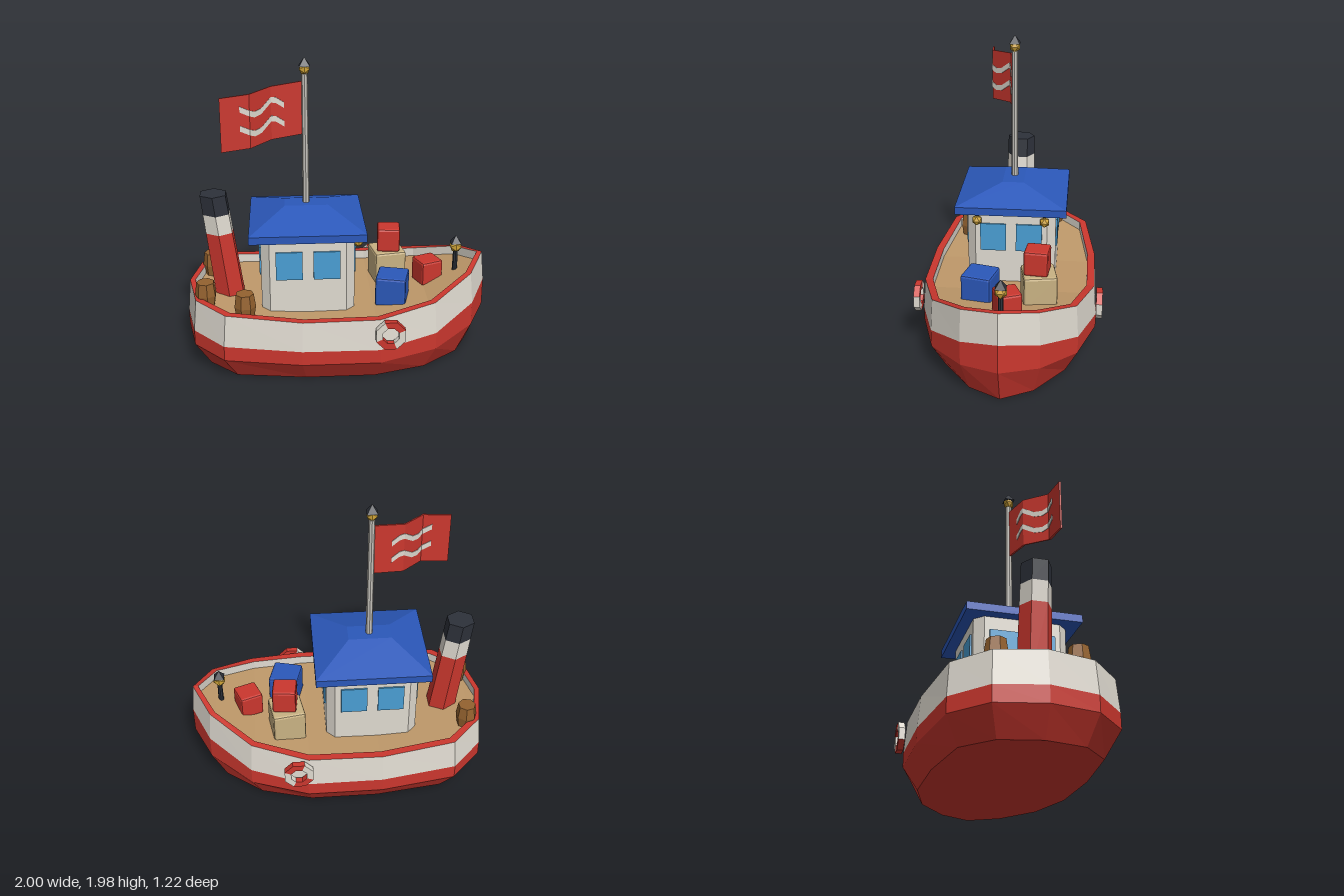
import * as THREE from 'three';
import { RoundedBoxGeometry } from 'three/addons/geometries/RoundedBoxGeometry.js';

const mat = (color) => new THREE.MeshStandardMaterial({ color, flatShading: true });
const M = {
  red: mat(0xcb372e), cream: mat(0xe0dbd1), deck: mat(0xbf996a), blue: mat(0x2b58ba),
  dark: mat(0x2d313a), glass: mat(0x4a9fd4), brown: mat(0x94622f), gold: mat(0xd0a437),
  tan: mat(0xc9b283), grey: mat(0xc4c1ba),
};

function add(parent, name, geometry, material, x = 0, y = 0, z = 0, turn = 0) {
  const mesh = new THREE.Mesh(geometry, material);
  mesh.name = name;
  mesh.position.set(x, y, z);
  mesh.rotation.y = turn;
  parent.add(mesh);
  return mesh;
}

// Hull stations, bow to stern: x, half width, chine y, paint line y, rail y
const HALF = [
  [1, 0, 0.25, 0.44, 0.64], [0.88, 0.24, 0.22, 0.38, 0.59], [0.61, 0.46, 0.17, 0.285, 0.495],
  [0.24, 0.57, 0.145, 0.237, 0.442], [-0.25, 0.57, 0.145, 0.24, 0.436],
  [-0.74, 0.5, 0.157, 0.255, 0.465], [-0.94, 0.3, 0.168, 0.27, 0.48], [-1, 0, 0.17, 0.275, 0.488],
];
const STATIONS = [...HALF, ...HALF.slice(1, -1).reverse().map(([x, z, ...ys]) => [x, -z, ...ys])];

// One closed loop around the hull
const ring = (sx, sz, yOf) => STATIONS.map((s) => [s[0] * sx, yOf(s), s[1] * sz]);

// Skin between two loops
function band(lower, upper) {
  const p = [];
  lower.forEach((a, i) => {
    const j = (i + 1) % lower.length;
    p.push(...a, ...upper[i], ...upper[j], ...a, ...upper[j], ...lower[j]);
  });
  const g = new THREE.BufferGeometry();
  g.setAttribute('position', new THREE.Float32BufferAttribute(p, 3));
  g.computeVertexNormals();
  return g;
}

function buildHull(boat) {
  const hull = new THREE.Group();
  hull.name = 'hull';
  boat.add(hull);
  const keel = ring(0.9, 0, () => 0), bottom = ring(0.9, 0.835, () => 0);
  const chine = ring(1, 1, (s) => s[2]), paint = ring(1, 1, (s) => s[3]);
  const rail = ring(0.98, 0.972, (s) => s[4]), inner = ring(0.945, 0.885, (s) => s[4]);
  const deckY = (s) => s[4] - 0.06;
  const edge = ring(0.945, 0.885, deckY), middle = ring(0.945, 0, deckY);
  add(hull, 'hullBottom', band(keel, bottom), M.red);
  add(hull, 'lowerHull', band(bottom, chine), M.red);
  add(hull, 'upperHull', band(chine, paint), M.red);
  add(hull, 'hullTopsides', band(paint, rail), M.cream);
  add(hull, 'rail', band(rail, inner), M.red);
  add(hull, 'innerBulwark', band(inner, edge), M.cream);
  add(hull, 'deck', band(edge, middle), M.deck);
}

function buildCabin(boat) {
  const cabin = new THREE.Group();
  cabin.name = 'cabin';
  cabin.position.x = -0.2;
  boat.add(cabin);
  // Walls with cut corners
  const w = 0.3, d = 0.29, c = 0.055;
  const plan = new THREE.Shape([
    [w, -d + c], [w, d - c], [w - c, d], [-w + c, d], [-w, d - c], [-w, -d + c], [-w + c, -d], [w - c, -d],
  ].map(([x, y]) => new THREE.Vector2(x, y)));
  const walls = new THREE.ExtrudeGeometry(plan, { depth: 0.52, bevelEnabled: false });
  add(cabin, 'cabinWalls', walls.rotateX(-Math.PI / 2), M.cream, 0, 0.37, 0);
  // Two windows on every side
  for (const s of [-1, 1]) for (const t of [-1, 1]) {
    add(cabin, 'sideWindow', new THREE.BoxGeometry(0.17, 0.19, 0.02), M.glass, t * 0.12, 0.705, s * d);
    add(cabin, 'endWindow', new THREE.BoxGeometry(0.02, 0.19, 0.17), M.glass, s * w, 0.705, t * 0.117);
  }
  // Roof: slab edge and hipped top
  add(cabin, 'roofEdge', new THREE.BoxGeometry(0.74, 0.05, 0.72), M.blue, 0, 0.91, 0);
  const hip = new THREE.BoxGeometry(0.74, 0.095, 0.72);
  const p = hip.attributes.position;
  for (let i = 0; i < p.count; i++) {
    if (p.getY(i) > 0) p.setXYZ(i, Math.sign(p.getX(i)) * 0.14, p.getY(i), Math.sign(p.getZ(i)) * 0.07);
  }
  hip.computeVertexNormals();
  add(cabin, 'roofTop', hip, M.blue, 0, 0.9825, 0);
  // Wall lamps facing the bow
  for (const s of [-1, 1]) {
    add(cabin, 'lampBracket', new THREE.BoxGeometry(0.04, 0.02, 0.02), M.dark, 0.305, 0.86, s * 0.22);
    add(cabin, 'wallLamp', new THREE.IcosahedronGeometry(0.035, 0), M.gold, 0.325, 0.832, s * 0.22);
  }
}

// Post with a gold lantern and a dark pointed cap
function lanternPost(boat, name, x, base, top, radius, ball, material) {
  const post = new THREE.Group();
  post.name = name;
  post.position.x = x;
  boat.add(post);
  add(post, name + 'Pole', new THREE.CylinderGeometry(radius, radius * 1.15, top - base, 8), material, 0, (top + base) / 2);
  add(post, name + 'Lantern', new THREE.IcosahedronGeometry(ball, 0), M.gold, 0, top + ball * 0.8);
  add(post, name + 'Cap', new THREE.ConeGeometry(0.048, 0.055, 4), M.dark, 0, top + ball * 1.5 + 0.02, 0, Math.PI / 4);
}

// Flag folds: x, z, top y
const FOLDS = [[-0.22, 0.005, 1.83], [-0.41, 0.045, 1.81], [-0.54, 0.175, 1.795], [-0.72, 0.19, 1.775]];
function foldZ(x) {
  const i = x > FOLDS[1][0] ? 0 : x > FOLDS[2][0] ? 1 : 2;
  const [a, b] = [FOLDS[i], FOLDS[i + 1]];
  return THREE.MathUtils.mapLinear(x, a[0], b[0], a[1], b[1]);
}
// Cloth strip through points x, top y, hanging down by a fixed height
function clothStrip(points, height, thick) {
  const n = points.length - 1;
  const g = new THREE.BoxGeometry(n, 1, 1, n, 1, 1);
  const p = g.attributes.position;
  for (let i = 0; i < p.count; i++) {
    const [x, top] = points[n - Math.round(p.getX(i) + n / 2)];
    p.setXYZ(i, x, p.getY(i) > 0 ? top : top - height, foldZ(x) + p.getZ(i) * thick);
  }
  g.computeVertexNormals();
  return g;
}

function buildFlag(boat) {
  add(boat, 'flag', clothStrip(FOLDS.map(([x, , y]) => [x, y]), 0.34, 0.012), M.red);
  const wave = [[-0.33, 1.705], [-0.38, 1.74], [-0.41, 1.745], [-0.47, 1.69], [-0.51, 1.68], [-0.54, 1.695], [-0.6, 1.722]];
  for (const drop of [0, 0.12]) {
    add(boat, 'wavyStripe', clothStrip(wave.map(([x, y]) => [x, y - drop]), 0.036, 0.02), M.cream);
  }
}

// Leaning six-sided funnel in three painted bands
function buildFunnel(boat) {
  const radius = (y) => 0.105 - (y - 0.38) * 0.015;
  for (const [name, a, b, m] of [['funnelBase', 0.38, 0.84, M.red], ['funnelBand', 0.84, 0.97, M.cream], ['funnelTop', 0.97, 1.1, M.dark]]) {
    const g = new THREE.CylinderGeometry(radius(b), radius(a), b - a, 6).translate(0, (a + b) / 2, 0);
    g.applyMatrix4(new THREE.Matrix4().set(1, -0.122, 0, -0.666, 0, 1, 0, 0, 0, 0, 1, 0, 0, 0, 0, 1));
    add(boat, name, g, m);
  }
}

function buildCargo(boat) {
  // Crates: name, size, height, x, base y, z, turn
  for (const [name, m, s, h, x, y, z, turn] of [
    ['tanCrate', M.tan, 0.215, 0.225, 0.36, 0.375, -0.2, 0.17],
    ['stackedRedCrate', M.red, 0.155, 0.165, 0.368, 0.6, -0.19, -0.1],
    ['redCrate', M.red, 0.155, 0.165, 0.615, 0.428, -0.02, 0.38],
    ['blueCrate', M.blue, 0.2, 0.2, 0.355, 0.38, 0.175, -0.25],
  ]) {
    add(boat, name, new RoundedBoxGeometry(s, h, s, 1, 0.015), m, x, y + h / 2, z, turn);
  }
  // Bulging barrels
  const profile = [[0, 0], [0.056, 0], [0.07, 0.09], [0.058, 0.175], [0, 0.175]].map(([r, y]) => new THREE.Vector2(r, y));
  for (const [x, y, z] of [[-0.84, 0.4, -0.25], [-0.86, 0.4, 0.22], [-0.605, 0.38, 0.36]]) {
    add(boat, 'barrel', new THREE.LatheGeometry(profile, 7), M.brown, x, y, z, x * 5);
  }
}

// Eight-sided life rings on both sides of the hull, in quarter bands
function buildLifeRings(boat) {
  const section = [[0.1, -0.02], [0.1, 0.02], [0.055, 0.02], [0.055, -0.02], [0.1, -0.02]].map(([r, y]) => new THREE.Vector2(r, y));
  for (const side of [-1, 1]) {
    const lifeRing = new THREE.Group();
    lifeRing.name = 'lifeRing';
    lifeRing.position.set(0.3, 0.355, side * 0.588);
    boat.add(lifeRing);
    for (let i = 0; i < 4; i++) {
      const g = new THREE.LatheGeometry(section, 2, Math.PI * (0.625 + i / 2), Math.PI / 2).rotateX(Math.PI / 2);
      add(lifeRing, 'lifeRingQuarter', g, i % 2 ? M.cream : M.red);
    }
  }
}

export function createModel() {
  const boat = new THREE.Group();
  boat.name = 'tugboat';
  buildHull(boat);
  buildCabin(boat);
  lanternPost(boat, 'mast', -0.2, 1.0, 1.875, 0.02, 0.038, M.grey);
  lanternPost(boat, 'bowLight', 0.8, 0.48, 0.65, 0.016, 0.044, M.dark);
  buildFlag(boat);
  buildFunnel(boat);
  buildCargo(boat);
  buildLifeRings(boat);
  return boat;
}
